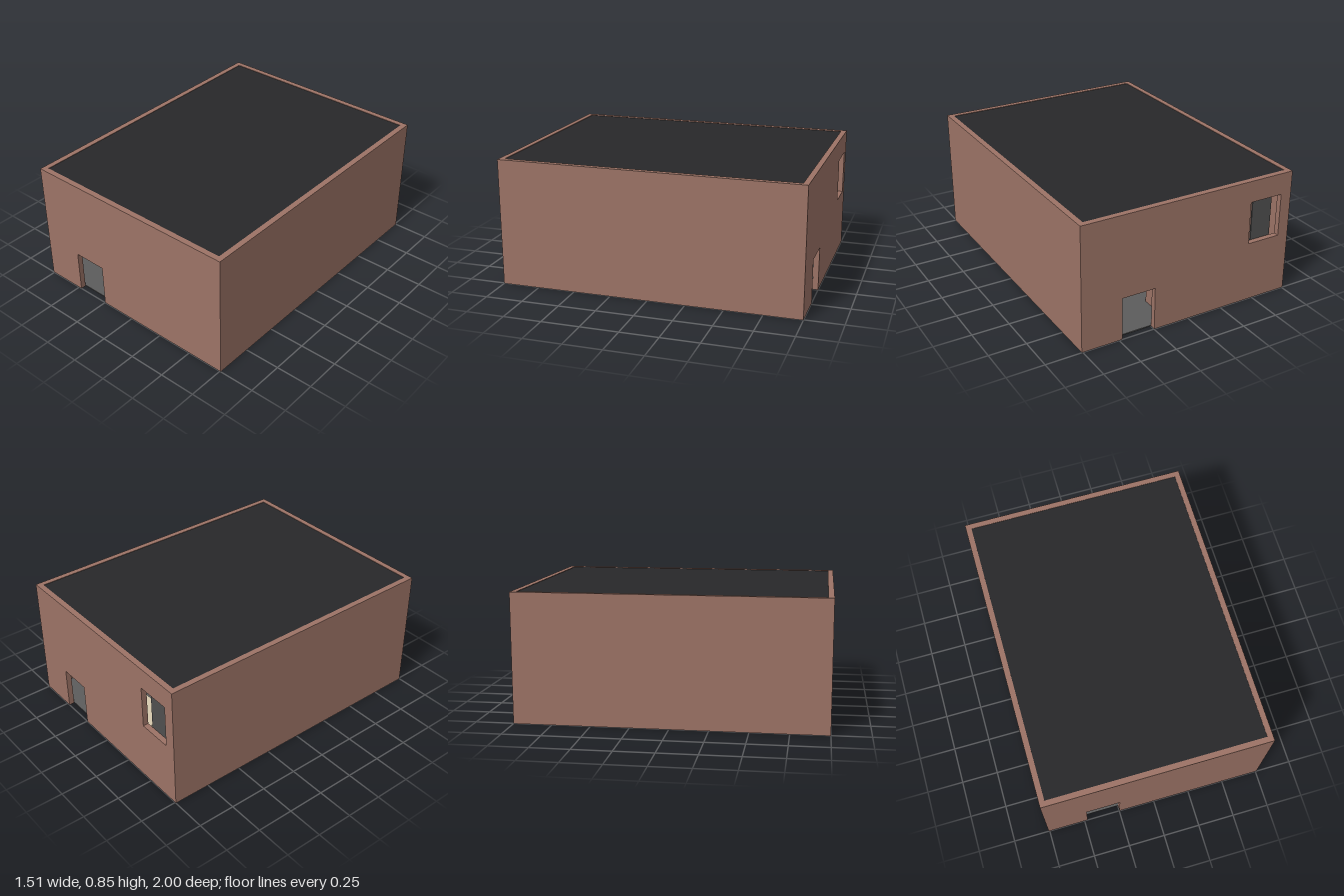
import * as THREE from 'three';

const W = 0.757, D = 1, H = 0.845, T = 0.037;
const mat = (color) => new THREE.MeshStandardMaterial({ color });
const brick = mat(0x9c7366), dark = mat(0x28282a), grey = mat(0x5c5c5c);
const beige = mat(0xd6c9ae), green = mat(0x488672), steel = mat(0xcccccc);

export function createModel() {
  const group = new THREE.Group();
  const add = (name, geometry, material) => {
    const mesh = new THREE.Mesh(geometry, material);
    mesh.name = name;
    group.add(mesh);
    return mesh;
  };
  // Box given by its two extreme corners
  const box = (name, material, x0, x1, y0, y1, z0, z1) => {
    const mesh = add(name, new THREE.BoxGeometry(x1 - x0, y1 - y0, z1 - z0), material);
    mesh.position.set((x0 + x1) / 2, (y0 + y1) / 2, (z0 + z1) / 2);
    return mesh;
  };
  // End wall with a doorway cut from its foot and optional windows [x0, x1, y0, y1]
  const endWall = (name, z, [d0, d1, dh], windows = []) => {
    const outline = [[-W, 0], [d0, 0], [d0, dh], [d1, dh], [d1, 0], [W, 0], [W, H], [-W, H]];
    const shape = new THREE.Shape(outline.map(([x, y]) => new THREE.Vector2(x, y)));
    for (const [x0, x1, y0, y1] of windows) {
      const hole = [[x0, y0], [x0, y1], [x1, y1], [x1, y0]];
      shape.holes.push(new THREE.Path(hole.map(([x, y]) => new THREE.Vector2(x, y))));
    }
    const wall = add(name, new THREE.ExtrudeGeometry(shape, { depth: T, bevelEnabled: false }), brick);
    wall.position.z = z;
  };

  // Shell
  endWall('frontWall', D - T, [-0.478, -0.248, 0.29]);
  endWall('backWall', -D, [0.248, 0.478, 0.29], [[-0.68, -0.445, 0.41, 0.70]]);
  for (const [name, x] of [['leftWall', W - T], ['rightWall', -W]]) {
    box(name, brick, x, x + T, 0, H, -D + T, D - T);
  }
  box('roof', dark, -W + T, W - T, H - 0.03, H - 0.003, -D + T, D - T);
  box('floor', grey, -W + T, W - T, 0, 0.008, -D + T, D - T);

  // Panel behind the window opening
  box('windowPanel', mat(0x505050), -0.637, -0.488, 0.40, 0.70, -0.962, -0.952);

  // Furnishings
  box('cabinet', green, 0.442, 0.70, 0.008, 0.25, -0.775, -0.50);
  box('platform', beige, -0.70, -0.365, 0.008, 0.05, -0.75, -0.25);
  box('deskBody', brick, -0.268, 0.13, 0.008, 0.195, -0.87, -0.71);
  box('deskTop', beige, -0.29, 0.15, 0.195, 0.23, -0.90, -0.68);
  box('counterLong', beige, 0.17, 0.205, 0.008, 0.20, -0.23, 0.46);
  box('counterReturn', beige, 0.205, 0.35, 0.008, 0.20, 0.425, 0.46);

  // Post from floor to roof
  const post = add('post', new THREE.CylinderGeometry(0.006, 0.006, H - 0.04, 12), steel);
  post.position.set(-0.351, (H - 0.03) / 2, -0.55);
  return group;
}
